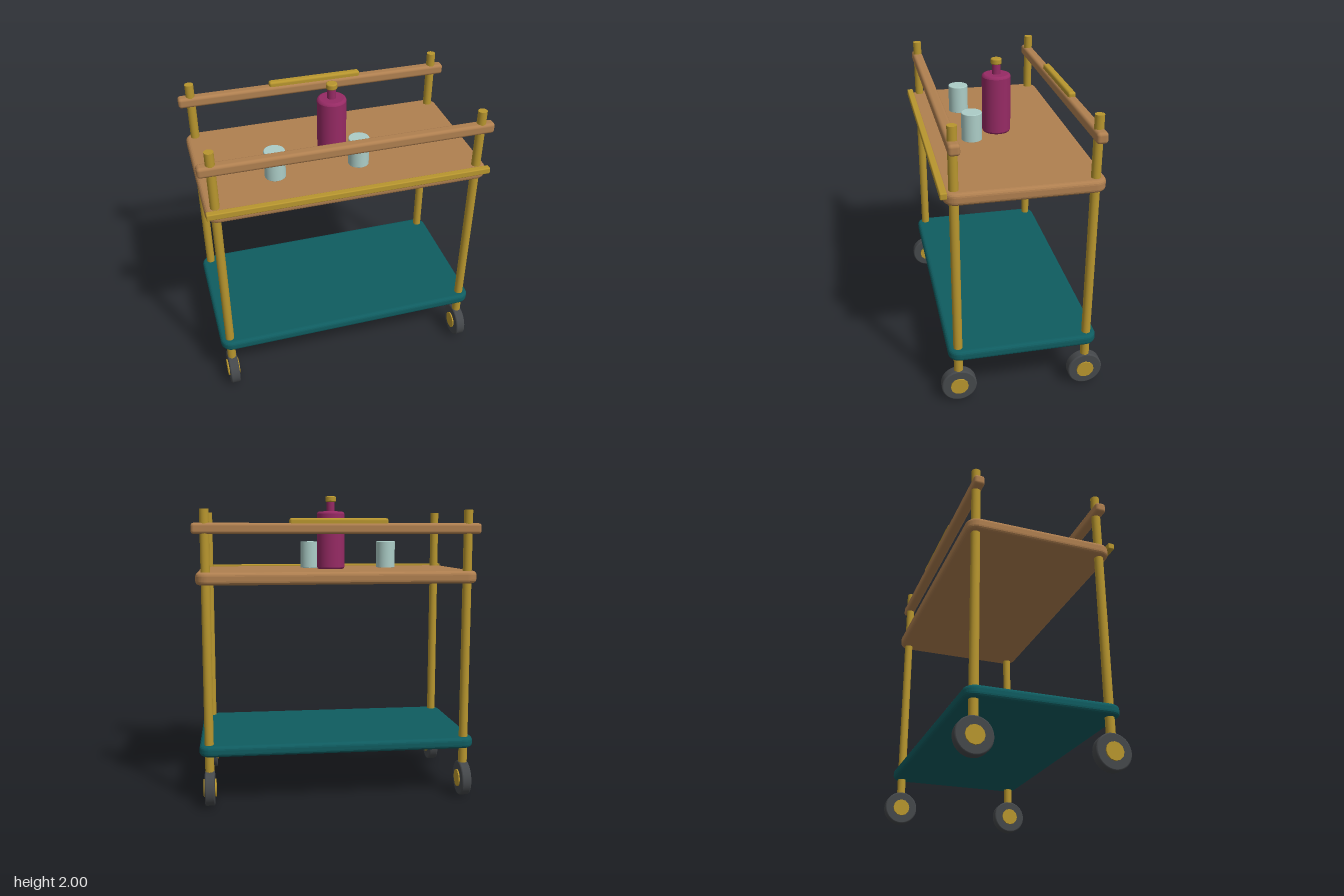
import * as THREE from 'three';
import { RoundedBoxGeometry } from 'three/addons/geometries/RoundedBoxGeometry.js';

const material = (name, color) => {
  const m = new THREE.MeshStandardMaterial({ color });
  m.name = name;
  return m;
};

// Rounded-corner slab, extruded upwards with softened edges
function slabGeometry(w, h, d, r, bevel) {
  const x = w / 2 - bevel, y = d / 2 - bevel, c = r - bevel;
  const s = new THREE.Shape();
  s.moveTo(-x + c, -y);
  s.lineTo(x - c, -y);
  s.absarc(x - c, -y + c, c, -Math.PI / 2, 0);
  s.absarc(x - c, y - c, c, 0, Math.PI / 2);
  s.absarc(-x + c, y - c, c, Math.PI / 2, Math.PI);
  s.absarc(-x + c, -y + c, c, Math.PI, Math.PI * 1.5);
  const g = new THREE.ExtrudeGeometry(s, {
    depth: h - 2 * bevel, bevelEnabled: true, bevelSize: bevel,
    bevelThickness: bevel, bevelSegments: 4, curveSegments: 6,
  });
  g.translate(0, 0, bevel - h / 2);
  g.rotateX(-Math.PI / 2);
  return g;
}

// Solid turned cylinder with a small bevel on both rims, centred on its axis
function turned(r, h, b, sides = 32) {
  const pts = [[0, -h / 2], [r - b, -h / 2], [r - b, -h / 2], [r - b * 0.3, -h / 2 + b * 0.3], [r, -h / 2 + b], [r, -h / 2 + b],
    [r, h / 2 - b], [r, h / 2 - b], [r - b * 0.3, h / 2 - b * 0.3], [r - b, h / 2], [r - b, h / 2], [0, h / 2]];
  return new THREE.LatheGeometry(pts.map(([x, y]) => new THREE.Vector2(x, y)), sides);
}

export function createModel() {
  const cart = new THREE.Group();
  cart.name = 'servingCart';

  const wood = material('wood', 0xb08050);
  const brass = material('brass', 0xb8962e);
  const teal = material('teal', 0x0f5c60);
  const rubber = material('rubber', 0x45484b);
  const wine = material('wine', 0x962a64);
  const glass = material('paleGlass', 0xaccdc7);

  const add = (name, geometry, mat, x, y, z, parent = cart) => {
    const mesh = new THREE.Mesh(geometry, mat);
    mesh.name = name;
    mesh.position.set(x, y, z);
    parent.add(mesh);
    return mesh;
  };

  // Shelves
  add('topShelf', slabGeometry(1.81, 0.08, 0.966, 0.075, 0.025), wood, 0, 1.469, 0);
  add('lowerShelf', slabGeometry(1.81, 0.072, 0.966, 0.075, 0.025), teal, 0, 0.367, 0);

  // Posts and castors at the four corners
  const post = new THREE.CylinderGeometry(0.029, 0.029, 1.72, 24);
  const tyre = turned(0.114, 0.064, 0.008, 40).rotateZ(Math.PI / 2);
  const hub = new THREE.CylinderGeometry(0.058, 0.058, 0.082, 12).rotateZ(Math.PI / 2);
  for (const x of [-0.842, 0.842]) {
    for (const z of [-0.42, 0.42]) {
      add('post', post, brass, x, 1.04, z);
      const castor = new THREE.Group();
      castor.name = 'castor';
      castor.position.set(x, 0.116, z);
      cart.add(castor);
      add('tyre', tyre, rubber, 0, 0, 0, castor);
      add('hub', hub, brass, 0, 0, 0, castor);
    }
  }

  // Wooden side rails, front and back
  const rail = new RoundedBoxGeometry(1.85, 0.07, 0.07, 3, 0.02);
  for (const z of [-0.42, 0.42]) add('handRail', rail, wood, 0, 1.78, z);

  // Brass trim along the front edge and grip on the back rail
  add('frontTrim', new RoundedBoxGeometry(1.81, 0.042, 0.042, 2, 0.007), brass, 0, 1.501, 0.485);
  add('backGrip', new RoundedBoxGeometry(0.63, 0.05, 0.05, 3, 0.015), brass, 0, 1.82, -0.422);

  // Bottle
  const bottle = new THREE.Group();
  bottle.name = 'bottle';
  bottle.position.y = 1.505;
  cart.add(bottle);
  add('bottleBody', turned(0.094, 0.393, 0.016, 40), wine, 0, 0.1965, 0, bottle);
  add('bottleNeck', new THREE.CylinderGeometry(0.028, 0.028, 0.09, 24), wine, 0, 0.425, 0, bottle);
  add('bottleCap', turned(0.036, 0.038, 0.007, 16), brass, 0, 0.476, 0, bottle);

  // Tumblers
  const tumbler = turned(0.067, 0.188, 0.004, 32);
  for (const x of [-0.422, 0.125]) add('tumbler', tumbler, glass, x, 1.6, 0.188);

  return cart;
}
